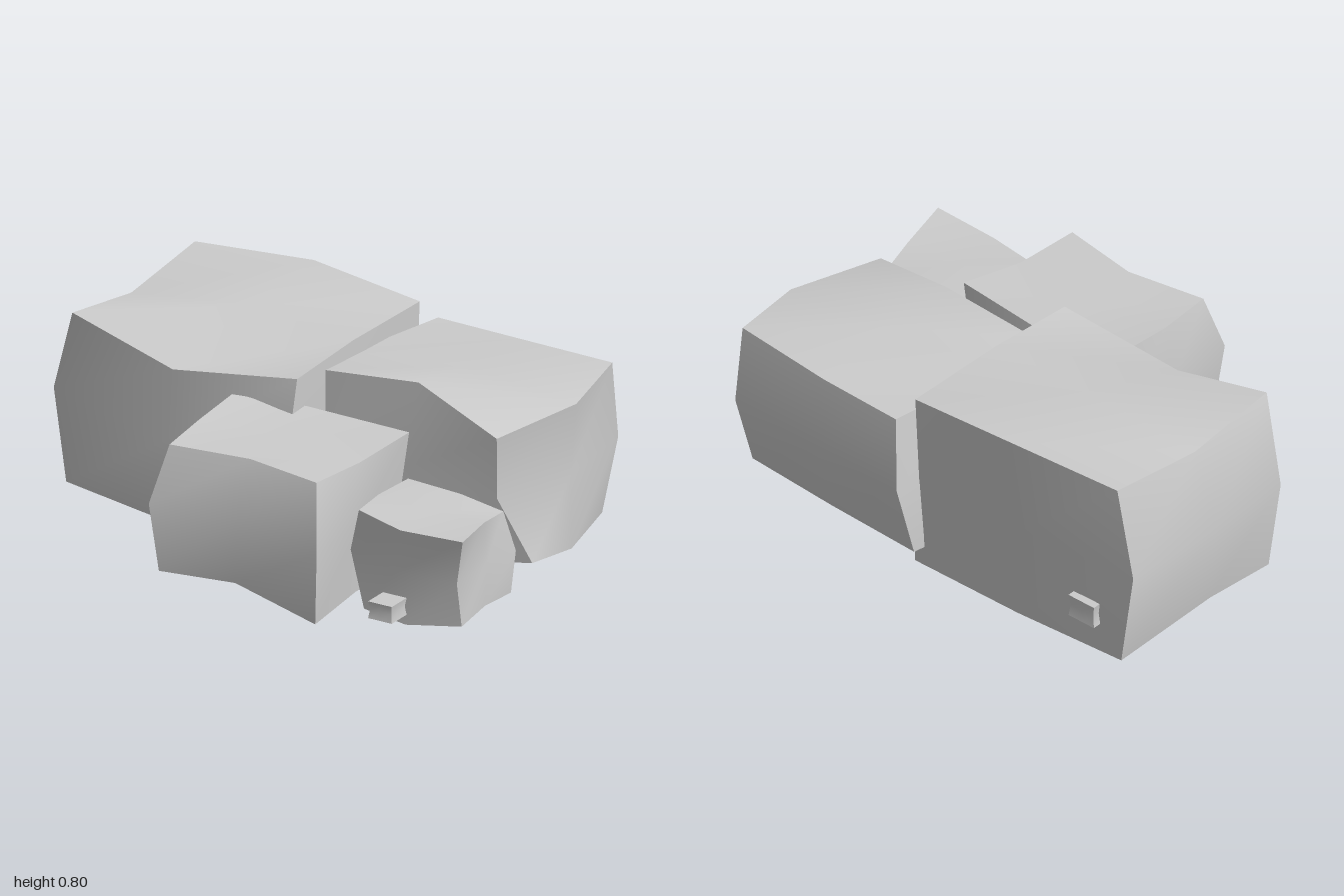
import * as THREE from 'three';

// Each boulder: bottom ring and top ring of 8 points, middle ring of 4 corners.
// Rings run: front-left corner, front, front-right, right, back-right, back, back-left, left.
const RING = [[-1, 1], [0, 1], [1, 1], [1, 0], [1, -1], [0, -1], [-1, -1], [-1, 0]];
const BOULDERS = {
  largeBoulder: {
    bottom: [[-.96, .085, .12], [-.45, .06, .2], [.01, .025, .2], [.05, .05, -.2],
      [.08, .005, -.61], [-.4, 0, -.6], [-.88, .02, -.59], [-.91, .06, -.14]],
    middle: [[-1, .45, .14], [.04, .4, .24], [.05, .38, -.62], [-.945, .42, -.6]],
    top: [[-.89, .78, .19], [-.46, .66, .2], [.04, .72, .16], [.05, .745, -.2],
      [.06, .745, -.63], [-.4, .795, -.65], [-.87, .78, -.6], [-.88, .725, -.19]],
    crown: [-.4, .775, -.22],
  },
  backBoulder: {
    bottom: [[.07, .07, -.01], [.45, .07, .03], [.9, .125, -.05], [.89, .08, -.33],
      [.83, .1, -.63], [.45, .085, -.64], [.04, .09, -.66], [-.03, .07, -.23]],
    middle: [[0, .38, -.02], [.79, .37, .01], [.86, .38, -.69], [.07, .38, -.72]],
    top: [[.02, .69, -.02], [.43, .725, -.035], [.81, .62, .045], [.91, .645, -.33],
      [.86, .68, -.65], [.45, .67, -.68], [.1, .67, -.69], [.02, .68, -.24]],
  },
  frontBoulder: {
    bottom: [[-.21, .11, .69], [.1, .125, .67], [.45, .05, .69], [.45, .08, .42],
      [.45, .08, .17], [.06, .1, .055], [-.2, .11, .2], [-.23, .11, .42]],
    middle: [[-.24, .37, .71], [.475, .34, .72], [.46, .35, .14], [-.23, .37, .15]],
    top: [[-.19, .59, .65], [.12, .585, .6], [.43, .58, .65], [.455, .575, .4],
      [.5, .61, .14], [.05, .6, .11], [-.21, .62, .2], [-.21, .6, .42]],
  },
  smallBoulder: {
    bottom: [[.555, .078, .53], [.75, .07, .56], [.98, .11, .55], [.96, .12, .36],
      [.955, .105, .18], [.75, .085, .19], [.53, .08, .18], [.51, .09, .36]],
    middle: [[.48, .28, .5], [.96, .27, .55], [.96, .26, .155], [.5, .27, .18]],
    top: [[.54, .46, .54], [.74, .44, .58], [1, .45, .575], [.955, .44, .36],
      [.92, .41, .175], [.75, .445, .19], [.515, .445, .17], [.51, .45, .36]],
  },
};

// Pebbles: centre and size
const PEBBLES = {
  frontPebble: [[.742, .172, .67], [.1, .065, .1]],
  rearPebble: [[-.725, .185, -.585], [.12, .09, .09]],
  innerPebble: [[.365, .18, .09], [.14, .08, .11]],
  middlePebble: [[.545, .18, .035], [.15, .09, .075]],
};

// Box lattice bent to the given points; each side shades smoothly, its edges stay sharp
function boulderGeometry({ bottom, middle, top, crown }) {
  const points = new Map();
  const put = (x, y, z, p) => points.set(`${x},${y},${z}`, new THREE.Vector3(...p));
  RING.forEach(([x, z], i) => {
    put(x, -1, z, bottom[i]);
    put(x, 1, z, top[i]);
    if (i % 2 === 0) put(x, 0, z, middle[i / 2]);
  });
  if (crown) put(0, 1, 0, crown);
  const lookup = (v) => {
    const known = points.get(v.join(','));
    if (known) return known;
    // Centre of a side: half the edge middles less a quarter of the corners
    const axis = v.findIndex((c) => c !== 0);
    const sum = new THREE.Vector3();
    for (let a = -1; a <= 1; a++) for (let b = -1; b <= 1; b++) {
      if (!a && !b) continue;
      const n = [...v];
      n[(axis + 1) % 3] = a;
      n[(axis + 2) % 3] = b;
      sum.addScaledVector(points.get(n.join(',')), a && b ? -.25 : .5);
    }
    return sum;
  };
  const geometry = new THREE.BoxGeometry(2, 2, 2, 2, 2, 2);
  const pos = geometry.attributes.position;
  for (let i = 0; i < pos.count; i++) {
    const p = lookup([pos.getX(i), pos.getY(i), pos.getZ(i)].map(Math.round));
    pos.setXYZ(i, p.x, p.y, p.z);
  }
  geometry.computeVertexNormals();
  return geometry;
}

// Small box with a pinched waist
function pebbleGeometry(size) {
  const geometry = new THREE.BoxGeometry(...size, 2, 2, 2);
  const pos = geometry.attributes.position;
  for (let i = 0; i < pos.count; i++) {
    const pinch = Math.abs(pos.getY(i)) < 1e-6 ? .9 : 1;
    pos.setX(i, pos.getX(i) * pinch);
    pos.setZ(i, pos.getZ(i) * pinch);
  }
  geometry.computeVertexNormals();
  return geometry;
}

export function createModel() {
  const group = new THREE.Group();
  group.name = 'rockCluster';
  const stone = new THREE.MeshStandardMaterial({ color: 0xcccccc });
  stone.name = 'stone';
  const add = (name, geometry) => {
    const mesh = new THREE.Mesh(geometry, stone);
    mesh.name = name;
    group.add(mesh);
    return mesh;
  };
  for (const [name, rings] of Object.entries(BOULDERS)) add(name, boulderGeometry(rings));
  for (const [name, [centre, size]] of Object.entries(PEBBLES)) {
    add(name, pebbleGeometry(size)).position.set(...centre);
  }
  return group;
}
